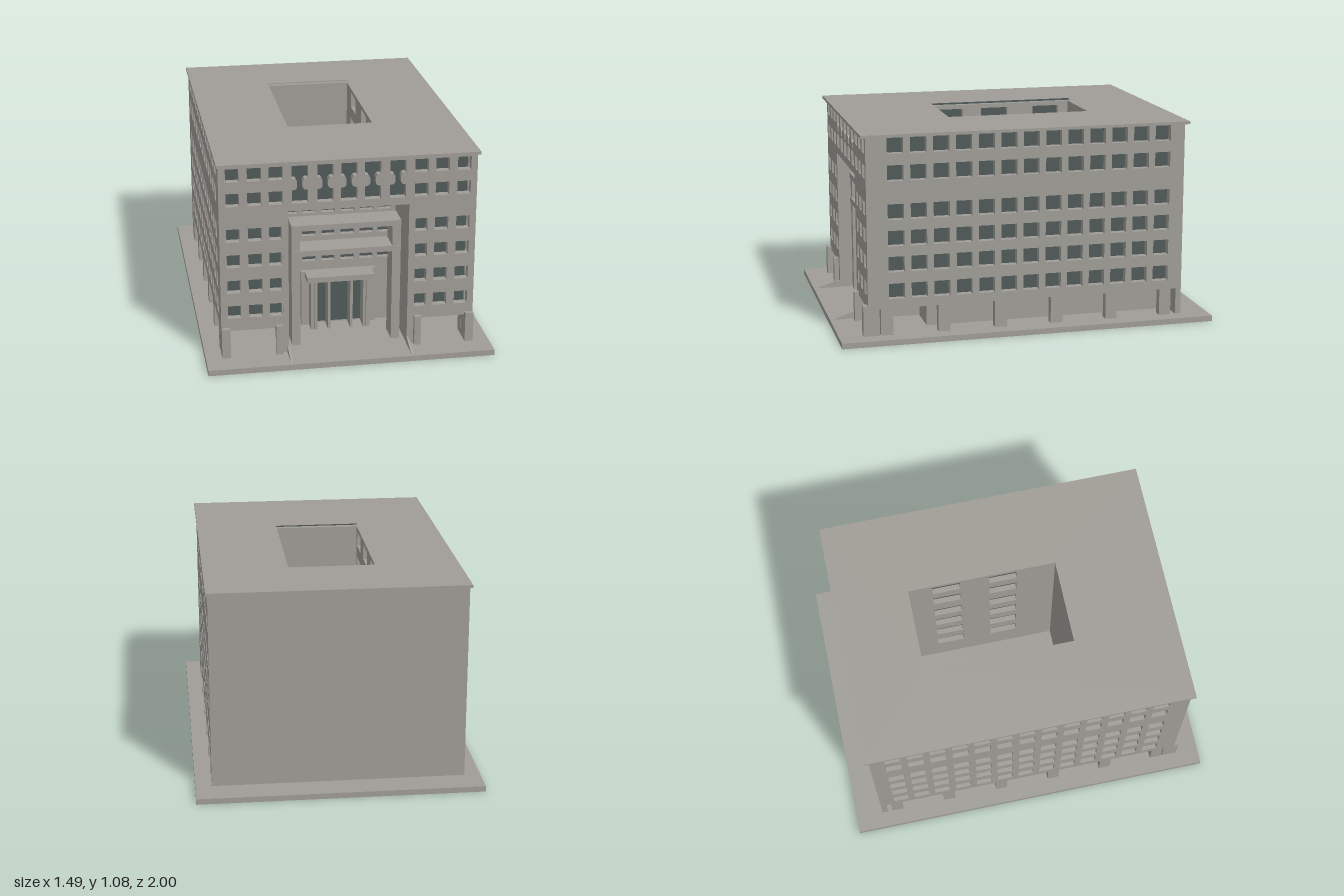
import * as THREE from 'three';

export function createModel() {
  const model = new THREE.Group();
  const stone = new THREE.MeshStandardMaterial({ name: 'warm grey stone', color: 0xa09d97 });
  const glass = new THREE.MeshStandardMaterial({ name: 'dark teal glass', color: 0x4f5a58 });

  const add = (name, geo, mat = stone) => {
    const m = new THREE.Mesh(geo, mat);
    m.name = name;
    model.add(m);
    return m;
  };
  // Box given by its limits
  const box = (name, x0, x1, y0, y1, z0, z1, mat) =>
    add(name, new THREE.BoxGeometry(x1 - x0, y1 - y0, z1 - z0), mat)
      .position.set((x0 + x1) / 2, (y0 + y1) / 2, (z0 + z1) / 2);
  const poly = (pts, Type = THREE.Shape) => new Type(pts.map(p => new THREE.Vector2(...p)));
  const rect = (a, b, c, d) => [[a, c], [b, c], [b, d], [a, d]];
  const win = (x, y, w, h) => rect(x - w / 2, x + w / 2, y - h / 2, y + h / 2);
  // Extruded panel with openings
  const panel = (outline, holes, depth) => {
    const s = poly(outline);
    s.holes = holes.map(h => poly(h, THREE.Path));
    return new THREE.ExtrudeGeometry(s, { depth, bevelEnabled: false });
  };
  const grid = (xs, ys, w, h) => ys.flatMap(y => xs.map(x => win(x, y, w, h)));
  // Horizontal slab: plan points are (x, z)
  const slab = (name, outline, holes, y0, y1) => {
    const flip = pts => pts.map(([x, z]) => [x, -z]);
    const g = panel(flip(outline), holes.map(flip), y1 - y0);
    g.rotateX(-Math.PI / 2);
    g.translate(0, y0, 0);
    return add(name, g);
  };
  // Wall lying along z, from x0 to x1; openings are (-z, y)
  const sideWall = (name, outline, holes, x0, x1) => {
    const g = panel(outline, holes, x1 - x0);
    g.rotateY(Math.PI / 2);
    g.translate(x0, 0, 0);
    return add(name, g);
  };

  const court = rect(-0.235, 0.225, -0.475, 0.325);
  const top = 1.065, floor = 0.03, soffit = 0.172, back = 0.52;

  // Ground plate and roof
  box('groundPlate', -0.745, 0.745, 0, floor, -1, 1);
  slab('roof', rect(-0.67, 0.67, -0.875, 0.875), [court], top, 1.08);

  // Front wall with windows and the tall entrance opening
  const outer = [-0.592, -0.48, -0.372, 0.372, 0.48, 0.592];
  const frontHoles = [
    ...grid(outer, [1.015, 0.885, 0.695, 0.555, 0.415, 0.275], 0.07, 0.07),
    // Paired upper windows joined by a narrow neck
    ...[-0.25, -0.121, 0, 0.121, 0.25].map(c => {
      const half = [[0.041, 0.85], [0.041, 0.92], [0.022, 0.923], [0.014, 0.935],
        [0.014, 0.965], [0.022, 0.98], [0.041, 0.982], [0.041, 1.05]];
      return [...half.map(([x, y]) => [c + x, y]),
        ...half.slice().reverse().map(([x, y]) => [c - x, y])];
    }),
  ];
  const frontOutline = [[-0.66, soffit], [-0.31, soffit], [-0.31, 0.81], [0.31, 0.81],
    [0.31, soffit], [0.66, soffit], [0.66, top], [-0.66, top]];
  add('frontWall', panel(frontOutline, frontHoles, 0.04)).position.z = 0.81;
  box('upperFrontGlass', -0.62, 0.62, 0.83, 1.06, 0.802, 0.81, glass);
  for (const s of [-1, 1]) {
    const xs = [s * 0.345, s * 0.62].sort((a, b) => a - b);
    box('frontGlass', xs[0], xs[1], 0.2, 0.83, 0.802, 0.81, glass);
  }

  // Side walls with thirteen columns of windows
  const cols = Array.from({ length: 13 }, (_, i) => -0.698 + i * 0.119);
  const sideHoles = grid(cols, [1.0215, 0.88, 0.679, 0.54, 0.404, 0.262], 0.084, 0.082);
  for (const s of [-1, 1]) {
    const x0 = s > 0 ? 0.62 : -0.66;
    sideWall('sideWall', rect(-0.81, 0.85, soffit, top), sideHoles, x0, x0 + 0.04);
    const gx = s > 0 ? 0.612 : -0.62;
    box('sideGlass', gx, gx + 0.008, 0.2, 1.064, -0.82, 0.8, glass);
  }
  box('backWall', -0.66, 0.66, floor, top, -0.85, -0.82);

  // Ground floor core set back behind the arcade, and the arcade ceiling
  slab('groundFloorCore', rect(-0.54, 0.54, -0.82, back), [court], floor, soffit);
  slab('arcadeCeiling', [[-0.62, -0.82], [0.62, -0.82], [0.62, 0.81], [0.31, 0.81], [0.31, back],
    [-0.31, back], [-0.31, 0.81], [-0.62, 0.81]], [court], soffit, soffit + 0.01);

  // Arcade piers, mirrored left and right
  for (const s of [-1, 1]) {
    const mbox = (name, a, b, ...r) => box(name, Math.min(s * a, s * b), Math.max(s * a, s * b), ...r);
    for (let i = 0; i < 6; i++) {
      const z = 0.752 - i * 0.3025;
      mbox('arcadePier', 0.616, 0.66, floor, soffit, z - 0.032, z + 0.032);
    }
    mbox('cornerPier', 0.616, 0.66, floor, soffit, 0.79, 0.85);
    mbox('cornerPierFace', 0.616, 0.66, floor, 0.19, 0.85, 0.875);
    mbox('entrancePierFace', 0.345, 0.38, floor, 0.19, 0.85, 0.875);
    mbox('entrancePier', 0.345, 0.36, floor, soffit, 0.79, 0.85);
    mbox('entranceSideWall', 0.31, 0.345, floor, 0.82, back, 0.849);
    // Tall portal columns
    mbox('portalColumn', 0.24, 0.285, floor, 0.67, 0.66, 0.78);
    // Sloped stair cheek
    const cheek = sideWall('stairCheek', [[-0.98, floor], [-0.85, floor], [-0.85, 0.067],
      [-0.875, 0.065]], [], -0.006, 0.006);
    cheek.position.x = s * 0.314;
    // Doorway jambs and fins
    mbox('doorJamb', 0.155, 0.2, floor, 0.34, back, 0.545);
    for (const x of [0.06, 0.13]) mbox('doorFin', x - 0.007, x + 0.007, floor, 0.31, back, 0.61);
    mbox('doorEndFin', 0.14, 0.158, floor, 0.31, back, 0.61);
  }

  // Entrance recess: ceiling, window wall, portal beams
  box('recessCeiling', -0.345, 0.345, 0.81, 0.825, back - 0.04, 0.82);
  const recessHoles = grid([-0.25, -0.154, -0.052, 0.052, 0.154, 0.25], [0.7, 0.57, 0.425], 0.072, 0.072);
  add('recessWall', panel(rect(-0.345, 0.345, soffit, 0.82), recessHoles, 0.03)).position.z = back - 0.03;
  box('recessGlass', -0.32, 0.32, 0.37, 0.75, back - 0.038, back - 0.03, glass);
  box('upperPortalBeam', -0.285, 0.285, 0.67, 0.7, 0.65, 0.785);
  box('lowerPortalBeam', -0.285, 0.285, 0.53, 0.56, 0.65, 0.785);

  // Doorway
  box('doorCanopy', -0.18, 0.18, 0.31, 0.34, back, 0.63);
  box('doorHead', -0.2, 0.2, 0.31, 0.339, back, 0.545);
  box('doorGlass', -0.155, 0.155, 0.04, 0.31, back, back + 0.008, glass);

  // Courtyard walls: windows on the long sides, plain on the short ones
  const rows = [1.0, 0.85, 0.68, 0.53, 0.38, 0.23];
  const courtOutline = rect(-0.325, 0.475, floor, top);
  sideWall('courtyardWall', courtOutline, grid([0.34, 0.04, -0.22], rows, 0.15, 0.085), -0.265, -0.235);
  sideWall('courtyardWall', courtOutline, grid([0.27, -0.04], rows, 0.15, 0.085), 0.225, 0.255);
  box('courtyardGlass', -0.273, -0.265, 0.17, 1.06, -0.47, 0.32, glass);
  box('courtyardGlass', 0.255, 0.263, 0.17, 1.06, -0.47, 0.32, glass);
  box('courtyardEndWall', -0.265, 0.255, floor, top, -0.505, -0.475);
  box('courtyardEndWall', -0.265, 0.255, floor, top, 0.325, 0.355);

  return model;
}
